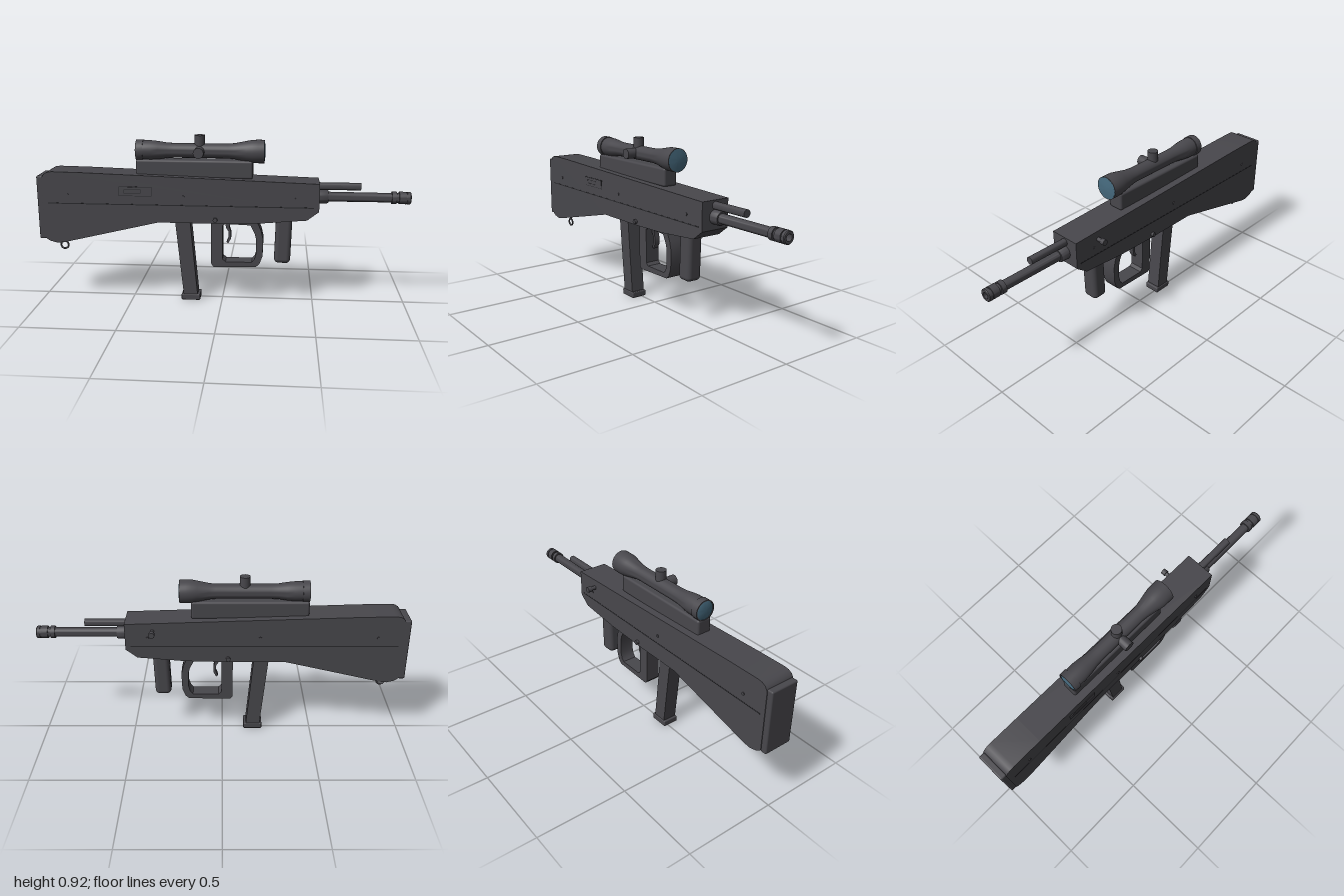
import * as THREE from 'three';
import { toCreasedNormals } from 'three/addons/utils/BufferGeometryUtils.js';
import { RoundedBoxGeometry } from 'three/addons/geometries/RoundedBoxGeometry.js';

const ZC = 0.019; // centre plane of the body

export function createModel() {
  const model = new THREE.Group();
  const gunmetal = new THREE.MeshStandardMaterial({ color: 0x48474c });
  gunmetal.name = 'gunmetal';
  const glass = new THREE.MeshStandardMaterial({ color: 0x466a7e });
  glass.name = 'lensGlass';
  const dark = new THREE.MeshStandardMaterial({ color: 0x29292c });
  dark.name = 'seamDark';

  const add = (name, geometry, x = 0, y = 0, z = ZC, material = gunmetal) => {
    const mesh = new THREE.Mesh(geometry, material);
    mesh.name = name;
    mesh.position.set(x, y, z);
    model.add(mesh);
    return mesh;
  };

  // Closed outline in x/y, extruded evenly about its own z = 0
  const slab = (points, depth, hole) => {
    const shape = new THREE.Shape(points.map(([x, y]) => new THREE.Vector2(x, y)));
    if (hole) shape.holes.push(new THREE.Path(hole.map(([x, y]) => new THREE.Vector2(x, y))));
    const g = new THREE.ExtrudeGeometry(shape, { depth, bevelEnabled: false });
    g.translate(0, 0, -depth / 2);
    return toCreasedNormals(g, 0.6);
  };

  // Turned part along x from [x, radius] pairs
  const turned = (profile, segments = 32) => {
    const g = new THREE.LatheGeometry(profile.map(([x, r]) => new THREE.Vector2(r, x)), segments);
    g.rotateZ(-Math.PI / 2);
    return toCreasedNormals(g, 0.6);
  };

  // Cylinder along z
  const pin = (name, x, y, z, r, length) =>
    add(name, new THREE.CylinderGeometry(r, r, length, 20).rotateX(Math.PI / 2), x, y, z);

  // Stock and receiver
  add('body', slab([
    [-0.968, 0.36], [-0.968, 0.69], [-0.955, 0.712], [-0.935, 0.723], [-0.91, 0.726], [-0.74, 0.723],
    [0.517, 0.682], [0.517, 0.533], [0.455, 0.485], [0.2, 0.463], [-0.02, 0.457],
    [-0.34, 0.457], [-0.86, 0.334], [-0.9, 0.33], [-0.94, 0.34],
  ], 0.166));
  add('buttPlate', new RoundedBoxGeometry(0.036, 0.35, 0.16, 3, 0.008), -0.98, 0.525);

  // Seams and screws on both sides
  for (const side of [1, -1]) {
    add('seam', new THREE.BoxGeometry(1.43, 0.005, 0.002), -0.225, 0.553, ZC + side * 0.083, dark);
    for (const x of [-0.83, -0.203, 0.397]) pin('screw', x, 0.6, ZC + side * 0.083, 0.008, 0.008);
  }
  pin('crossPin', -0.032, 0.478, ZC, 0.012, 0.194);

  // Ejection port
  const rect = (x0, x1, y0, y1) => [[x0, y0], [x1, y0], [x1, y1], [x0, y1]];
  add('portFrame', slab(rect(-0.546, -0.374, 0.603, 0.649), 0.006,
    rect(-0.522, -0.43, 0.615, 0.637)), 0, 0, ZC + 0.083);
  add('portOutline', new THREE.BoxGeometry(0.178, 0.052, 0.002), -0.46, 0.626, ZC + 0.083, dark);
  add('portCover', new THREE.BoxGeometry(0.088, 0.017, 0.004), -0.476, 0.626, ZC + 0.083);

  // Bolt handle
  pin('boltShaft', 0.37, 0.64, -0.075, 0.011, 0.05);
  pin('boltKnob', 0.37, 0.64, -0.103, 0.016, 0.024);

  // Barrel, muzzle and rod
  add('barrel', turned([
    [0.5, 0], [0.5, 0.037], [0.56, 0.037], [0.567, 0.033], [0.567, 0.026], [0.9, 0.025],
    [0.9, 0.033], [0.925, 0.033], [0.925, 0.026], [0.938, 0.026], [0.938, 0.033],
    [0.975, 0.033], [0.975, 0.029], [0.98, 0.029], [0.98, 0.033], [0.996, 0.033], [1, 0.029],
    [1, 0.017], [0.95, 0.017], [0.95, 0],
  ]), 0, 0.598);
  add('gasRod', turned([[0.5, 0], [0.5, 0.02], [0.737, 0.02], [0.737, 0]], 24), 0, 0.655);

  // Magazine, leaning slightly forward
  add('magazine', slab([[-0.256, 0.47], [-0.212, 0.03], [-0.135, 0.03], [-0.174, 0.47]], 0.08));
  add('magazineBase', new RoundedBoxGeometry(0.104, 0.034, 0.09, 2, 0.006), -0.173, 0.018);

  // Trigger guard grip and trigger
  add('triggerGuard', slab([
    [-0.058, 0.475], [-0.058, 0.215], [-0.045, 0.198], [0.185, 0.203], [0.205, 0.22], [0.222, 0.265],
    [0.225, 0.36], [0.213, 0.41], [0.185, 0.475],
  ], 0.083, [
    [0.004, 0.435], [0.004, 0.245], [0.02, 0.23], [0.163, 0.23], [0.178, 0.247], [0.187, 0.28],
    [0.187, 0.36], [0.178, 0.395], [0.155, 0.44], [0.02, 0.445],
  ]));
  add('trigger', slab([
    [0.015, 0.45], [0.022, 0.415], [0.035, 0.395], [0.036, 0.365], [0.024, 0.335], [0.034, 0.328],
    [0.048, 0.355], [0.049, 0.39], [0.04, 0.42], [0.045, 0.45],
  ], 0.03));
  const grip = add('foreGrip', new RoundedBoxGeometry(0.088, 0.27, 0.09, 4, 0.024), 0.332, 0.362);
  grip.rotation.z = -0.03;

  // Sling ring
  add('slingRing', new THREE.TorusGeometry(0.021, 0.005, 10, 28), -0.886, 0.293);
  add('slingStud', new THREE.CylinderGeometry(0.007, 0.007, 0.03, 12), -0.886, 0.325);

  // Scope with mount, adjustment knobs and lenses
  add('scopeMount', new RoundedBoxGeometry(0.625, 0.098, 0.083, 3, 0.012), -0.148, 0.741);
  add('scopeTube', turned([
    [-0.452, 0.05], [-0.46, 0.05], [-0.46, 0.056], [-0.422, 0.056], [-0.422, 0.052], [-0.38, 0.052],
    [-0.34, 0.048], [-0.295, 0.041], [-0.25, 0.039], [0.03, 0.039], [0.07, 0.043], [0.13, 0.055],
    [0.16, 0.061], [0.19, 0.062], [0.224, 0.062], [0.224, 0.058], [0.216, 0.058],
  ]), 0, 0.836);
  add('frontLens', turned([[0.22, 0.061], [0.2245, 0.059], [0.227, 0.04], [0.229, 0.02], [0.23, 0]]),
    0, 0.836, ZC, glass);
  add('rearLens', turned([[-0.465, 0], [-0.463, 0.02], [-0.461, 0.04], [-0.456, 0.052]]),
    0, 0.836, ZC, glass);
  add('topKnob', new THREE.CylinderGeometry(0.028, 0.028, 0.07, 24), -0.12, 0.885);
  pin('sideKnob', -0.12, 0.836, 0.071, 0.028, 0.07);

  return model;
}
